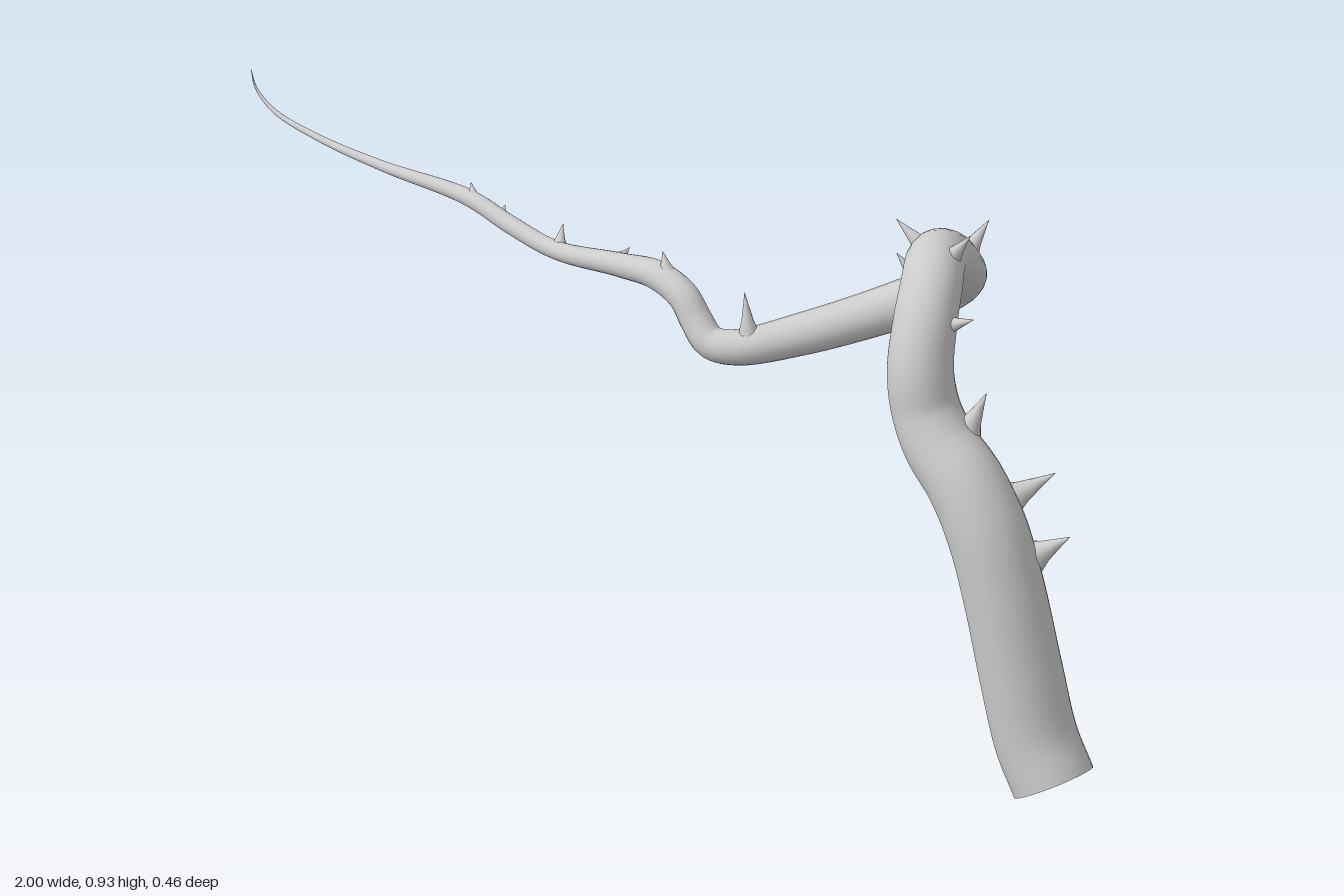
import * as THREE from 'three';
import { mergeVertices } from 'three/addons/utils/BufferGeometryUtils.js';

// Centre line of the vine: x, y, z, radius
const PATH = [
  [0.94, 0.055, 0.157, 0.073], [0.90, 0.125, 0.157, 0.073], [0.865, 0.24, 0.157, 0.073],
  [0.825, 0.38, 0.156, 0.072], [0.785, 0.485, 0.155, 0.071], [0.735, 0.56, 0.154, 0.068],
  [0.675, 0.615, 0.153, 0.064], [0.64, 0.665, 0.149, 0.06], [0.622, 0.73, 0.144, 0.058],
  [0.605, 0.80, 0.115, 0.056], [0.58, 0.85, 0.07, 0.054], [0.55, 0.871, 0.025, 0.052],
  [0.515, 0.84, -0.04, 0.05], [0.475, 0.78, -0.11, 0.048], [0.43, 0.725, -0.168, 0.046],
  [0.385, 0.682, -0.183, 0.044], [0.32, 0.643, -0.137, 0.042], [0.2, 0.588, -0.03, 0.037],
  [0.11, 0.559, 0.047, 0.031], [0.065, 0.56, 0.062, 0.029], [0.03, 0.59, 0.06, 0.028],
  [0, 0.623, 0.058, 0.027], [-0.06, 0.641, 0.056, 0.026], [-0.15, 0.63, 0.055, 0.021],
  [-0.3, 0.606, 0.054, 0.016], [-0.4, 0.617, 0.053, 0.016], [-0.5, 0.635, 0.052, 0.015],
  [-0.7, 0.626, 0.052, 0.009], [-0.85, 0.629, 0.052, 0.006], [-0.95, 0.645, 0.051, 0.004],
  [-0.99, 0.675, 0.051, 0.002], [-1, 0.705, 0.051, 0.0005],
];

// Thorns: base centre, tip, base radius
const THORNS = [
  [[0.835, 0.43, 0.11], [0.905, 0.485, 0.075], 0.04],
  [[0.78, 0.52, 0.11], [0.835, 0.568, 0.035], 0.04],
  [[0.74, 0.49, 0.11], [0.70, 0.465, 0.075], 0.03],
  [[0.705, 0.625, 0.125], [0.735, 0.713, 0.1], 0.034],
  [[0.625, 0.70, 0.11], [0.61, 0.69, 0.045], 0.024],
  [[0.625, 0.80, 0.1], [0.692, 0.833, 0.085], 0.028],
  [[0.58, 0.885, 0.025], [0.628, 0.948, 0.022], 0.024],
  [[0.53, 0.88, 0.02], [0.467, 0.93, 0.035], 0.026],
  [[0.48, 0.80, -0.13], [0.5, 0.86, -0.168], 0.026],
  [[0.39, 0.665, -0.175], [0.395, 0.622, -0.205], 0.024],
  [[0.36, 0.69, -0.15], [0.32, 0.747, -0.13], 0.026],
  [[0.13, 0.58, 0.035], [0.115, 0.662, 0.03], 0.022],
  [[-0.04, 0.65, 0.055], [-0.055, 0.688, 0.05], 0.02],
  [[-0.16, 0.632, 0.045], [-0.172, 0.636, 0.004], 0.016],
  [[-0.295, 0.611, 0.048], [-0.302, 0.647, 0.03], 0.016],
  [[-0.43, 0.622, 0.046], [-0.44, 0.632, 0.024], 0.012],
  [[-0.49, 0.638, 0.05], [-0.503, 0.66, 0.042], 0.014],
];

const STEPS = 260, SIDES = 20;

// Tube whose rings are scaled by the radius at each point of the path
function vineGeometry() {
  const curve = new THREE.CatmullRomCurve3(PATH.map(([x, y, z]) => new THREE.Vector3(x, y, z)), false, 'centripetal');
  curve.arcLengthDivisions = 1000;
  const geo = new THREE.TubeGeometry(curve, STEPS, 1, SIDES);
  const pos = geo.attributes.position, v = new THREE.Vector3();
  for (let i = 0; i <= STEPS; i++) {
    const centre = curve.getPointAt(i / STEPS);
    const t = curve.getUtoTmapping(i / STEPS) * (PATH.length - 1);
    const k = Math.min(Math.floor(t), PATH.length - 2);
    const r = THREE.MathUtils.lerp(PATH[k][3], PATH[k + 1][3], t - k);
    for (let j = 0; j <= SIDES; j++) {
      const n = i * (SIDES + 1) + j;
      v.fromBufferAttribute(pos, n).sub(centre).multiplyScalar(r).add(centre);
      pos.setXYZ(n, v.x, v.y, v.z);
    }
  }
  geo.deleteAttribute('uv');
  geo.deleteAttribute('normal');
  const merged = mergeVertices(geo, 1e-6);
  merged.computeVertexNormals();
  return merged;
}

// Unit thorn with a flared foot, base at the origin and tip at y = 1
const thornProfile = [[1, -0.1], [0.8, 0.12], [0.48, 0.38], [0.24, 0.68], [0, 1]];

export function createModel() {
  const group = new THREE.Group();
  group.name = 'thornyVine';
  const material = new THREE.MeshStandardMaterial({ color: 0xcccccc, side: THREE.DoubleSide });

  const vine = new THREE.Mesh(vineGeometry(), material);
  vine.name = 'vineStem';
  group.add(vine);

  const thornGeo = new THREE.LatheGeometry(thornProfile.map(([x, y]) => new THREE.Vector2(x, y)), 10);
  const thorns = new THREE.Group();
  thorns.name = 'thorns';
  const up = new THREE.Vector3(0, 1, 0);
  THORNS.forEach(([base, tip, radius], i) => {
    const from = new THREE.Vector3(...base);
    const axis = new THREE.Vector3(...tip).sub(from);
    const thorn = new THREE.Mesh(thornGeo, material);
    thorn.name = `thorn${i + 1}`;
    thorn.position.copy(from);
    thorn.scale.set(radius, axis.length(), radius);
    thorn.quaternion.setFromUnitVectors(up, axis.normalize());
    thorns.add(thorn);
  });
  group.add(thorns);
  return group;
}
